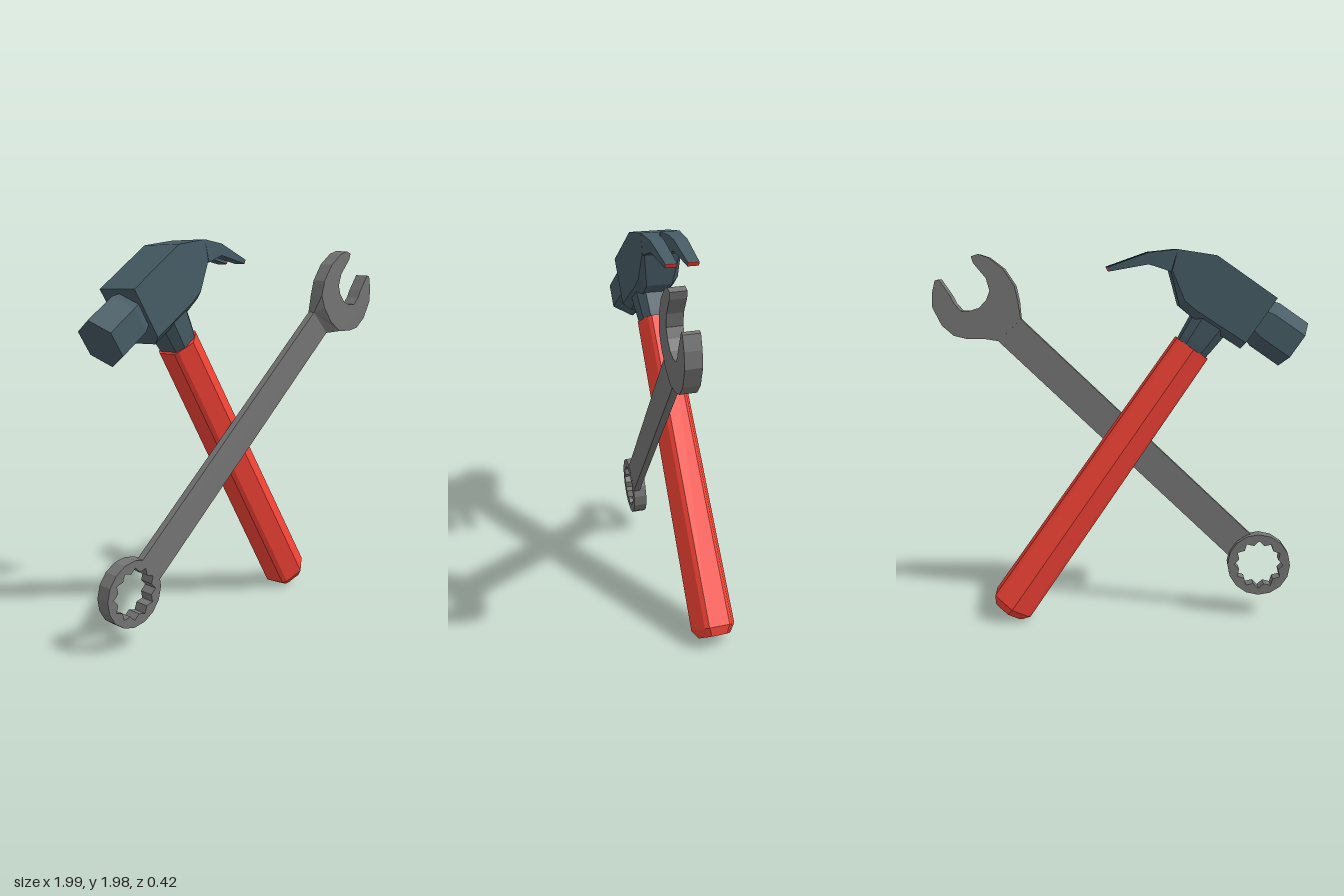
import * as THREE from 'three';

const steel = new THREE.MeshStandardMaterial({ color: 0x455a64, flatShading: true });
const red = new THREE.MeshStandardMaterial({ color: 0xf44336, flatShading: true });
const grey = new THREE.MeshStandardMaterial({ color: 0x757575, flatShading: true });

function add(parent, name, geometry, material) {
  const mesh = new THREE.Mesh(geometry, material);
  mesh.name = name;
  parent.add(mesh);
  return mesh;
}

// Closed solid through a series of rings, capped at both ends.
// Each ring turns counter-clockwise about the direction of travel.
function loft(rings) {
  const n = rings[0].length, last = (rings.length - 1) * n, index = [];
  for (let i = 0; i < rings.length - 1; i++) {
    for (let j = 0; j < n; j++) {
      const a = i * n + j, b = i * n + (j + 1) % n;
      index.push(a, b, b + n, a, b + n, a + n);
    }
  }
  for (let j = 1; j < n - 1; j++) {
    index.push(0, j + 1, j, last, last + j, last + j + 1);
  }
  const geo = new THREE.BufferGeometry();
  geo.setAttribute('position', new THREE.Float32BufferAttribute(rings.flat(2), 3));
  geo.setIndex(index);
  const flat = geo.toNonIndexed();
  flat.computeVertexNormals();
  return flat;
}

// Flat plate from an outline, spanning z0 to z1
function plate(points, z0, z1, hole) {
  const shape = new THREE.Shape(points.map(p => new THREE.Vector2(...p)));
  if (hole) shape.holes.push(new THREE.Path(hole.map(p => new THREE.Vector2(...p))));
  const geo = new THREE.ExtrudeGeometry(shape, { depth: z1 - z0, bevelEnabled: false });
  return geo.translate(0, 0, z0);
}

// Points around a centre, with the radius given per step
function around(cx, cy, count, radius) {
  return Array.from({ length: count }, (_, i) => {
    const a = i / count * Math.PI * 2, r = radius(i);
    return [cx + r * Math.cos(a), cy + r * Math.sin(a)];
  });
}

// Hammer: local y runs up the handle, local x runs along the head to the claw
function createHammer() {
  const hammer = new THREE.Group();
  hammer.name = 'hammer';

  // Handle, slightly wider and chamfered at the butt
  const half = [[0, 0.12], [0.095, 0.075], [0.113, 0.055], [0.113, -0.055], [0.095, -0.075]];
  const section = [...half, ...half.map(([x, z]) => [-x, -z])];
  const handleRing = (y, s) => section.map(([x, z]) => [x * s, y, z * s]);
  add(hammer, 'handle', loft([
    handleRing(-1.735, 0.74), handleRing(-1.69, 1), handleRing(0, 0.86),
  ]), red);

  // Tapered socket between handle and head
  const socketRing = (y, w, d) => [[0.55, 1], [1, 0.6], [1, -0.6], [0.55, -1],
    [-0.55, -1], [-1, -0.6], [-1, 0.6], [-0.55, 1]].map(([x, z]) => [x * w, y, z * d]);
  add(hammer, 'socket', loft([
    socketRing(-0.01, 0.082, 0.08), socketRing(0.03, 0.087, 0.085), socketRing(0.2, 0.103, 0.1),
  ]), steel);

  // Six-sided striking face with a narrowed neck
  const pollRing = (x, s) => Array.from({ length: 6 }, (_, i) => {
    const a = i * Math.PI / 3;
    return [x, 0.312 + 0.133 * s * Math.cos(a), 0.122 * s * Math.sin(a)];
  });
  add(hammer, 'strikingFace', loft([
    pollRing(-0.432, 1), pollRing(-0.245, 1), pollRing(-0.19, 0.84),
  ]), steel);

  // Head body: [top x, top y, bottom x, bottom y, half depth, bottom chamfer]
  const bodyRing = ([tx, ty, bx, by, h, c]) => [
    [tx, ty, h], [bx, by + c, h], [bx, by, h - c],
    [bx, by, c - h], [bx, by + c, -h], [tx, ty, -h],
  ];
  add(hammer, 'headBody', loft([
    [-0.2, 0.453, -0.2, 0.139, 0.112, 0.04],
    [0.1, 0.453, 0.1, 0.13, 0.112, 0.04],
    [0.176, 0.453, 0.181, 0.137, 0.112, 0.04],
    [0.357, 0.366, 0.32, 0.256, 0.108, 0.01],
  ].map(bodyRing)), steel);

  // Split claw: [top x, top y, bottom x, bottom y, slot half width, half depth]
  const claw = [
    [0.357, 0.366, 0.32, 0.256, 0, 0.108],
    [0.4, 0.329, 0.37, 0.242, 0.024, 0.104],
    [0.467, 0.272, 0.434, 0.223, 0.025, 0.1],
    [0.598, 0.093, 0.577, 0.082, 0.028, 0.09],
  ];
  const tip = [claw[3], [0.601, 0.089, 0.58, 0.078, 0.028, 0.09]];
  for (const side of [1, -1]) {
    const prongRing = ([tx, ty, bx, by, a, h]) => {
      const [z0, z1] = side > 0 ? [a, h] : [-h, -a];
      return [[tx, ty, z1], [bx, by, z1], [bx, by, z0], [tx, ty, z0]];
    };
    const name = side > 0 ? 'front' : 'back';
    add(hammer, name + 'Claw', loft(claw.map(prongRing)), steel);
    add(hammer, name + 'ClawTip', loft(tip.map(prongRing)), red);
  }

  hammer.rotation.set(0, 0.057, 0.6, 'YXZ');
  hammer.position.set(-0.39, 1.48, -0.031);
  return hammer;
}

function createWrench() {
  const wrench = new THREE.Group();
  wrench.name = 'wrench';

  // Shank
  add(wrench, 'shank', plate(
    [[-0.735, 0.445], [-0.62, 0.322], [0.64, 1.497], [0.516, 1.615]], -0.038, 0), grey);

  // Ring end with a twelve-point socket
  add(wrench, 'ringEnd', plate(
    around(-0.78, 0.285, 16, () => 0.17), -0.076, 0.0005,
    around(-0.78, 0.285, 24, i => (i % 2 ? 0.11 : 0.133))), grey);

  // Open jaw
  add(wrench, 'openJaw', plate([
    [0.53, 1.71], [0.548, 1.79], [0.607, 1.88], [0.687, 1.94], [0.74, 1.957], [0.778, 1.945],
    [0.767, 1.91], [0.7, 1.83], [0.682, 1.765], [0.7, 1.717], [0.74, 1.674], [0.79, 1.658],
    [0.84, 1.658], [0.874, 1.695], [0.896, 1.738], [0.955, 1.824], [0.976, 1.818],
    [0.993, 1.75], [0.993, 1.674], [0.944, 1.578], [0.88, 1.524], [0.81, 1.508],
    [0.714, 1.508], [0.63, 1.56], [0.56, 1.64],
  ], -0.039, 0.039), grey);

  // Sloped neck: the front corners on the shank side drop to the shank's face
  const neck = plate([
    [0.516, 1.615], [0.55, 1.58], [0.6, 1.535], [0.64, 1.497],
    [0.714, 1.508], [0.63, 1.56], [0.56, 1.64], [0.53, 1.71],
  ], -0.039, 0.039);
  const p = neck.attributes.position;
  for (let i = 0; i < p.count; i++) {
    if (p.getZ(i) > 0 && p.getX(i) + p.getY(i) < 2.16) p.setZ(i, 0);
  }
  neck.computeVertexNormals();
  add(wrench, 'neck', neck, grey);

  wrench.rotation.set(0.045, -0.03, 0);
  wrench.position.z = 0.06;
  return wrench;
}

export function createModel() {
  const model = new THREE.Group();
  model.name = 'hammerAndWrench';
  model.add(createHammer(), createWrench());
  return model;
}
